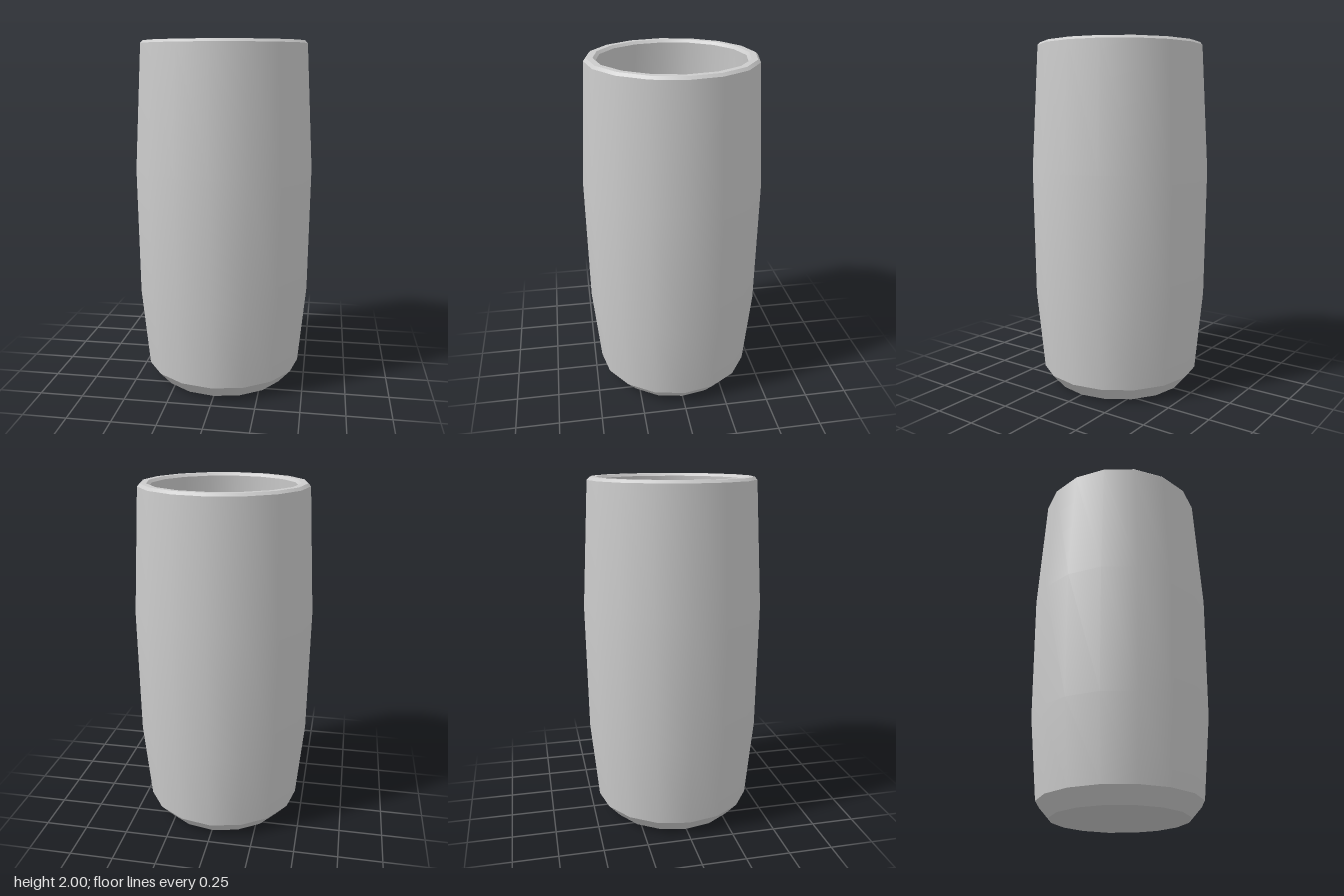
import * as THREE from 'three';

const SIDES = 16;

export function createModel() {
  const group = new THREE.Group();
  group.name = 'tumbler';
  const material = new THREE.MeshStandardMaterial({ color: 0xcccccc });

  // Each band is smooth in itself; edges between bands stay sharp.
  // The bands follow the profile out from the base, up, over the rim and back inside.
  const bands = {
    base: [[0, 0], [0.385, 0]],
    baseChamfer: [[0.385, 0], [0.46, 0.085]],
    outerWall: [[0.46, 0.085], [0.505, 0.55], [0.515, 1.28], [0.475, 1.985]],
    rimOuterBevel: [[0.475, 1.985], [0.46, 2]],
    rim: [[0.46, 2], [0.425, 2]],
    rimInnerBevel: [[0.425, 2], [0.41, 1.985]],
    innerWall: [[0.41, 1.985], [0.45, 1.28], [0.44, 0.55], [0.39, 0.11]],
    floorChamfer: [[0.39, 0.11], [0.375, 0.095]],
    floor: [[0.375, 0.095], [0, 0.095]],
  };

  for (const [name, profile] of Object.entries(bands)) {
    const points = profile.map(([r, y]) => new THREE.Vector2(r, y));
    const mesh = new THREE.Mesh(new THREE.LatheGeometry(points, SIDES), material);
    mesh.name = name;
    group.add(mesh);
  }
  return group;
}
